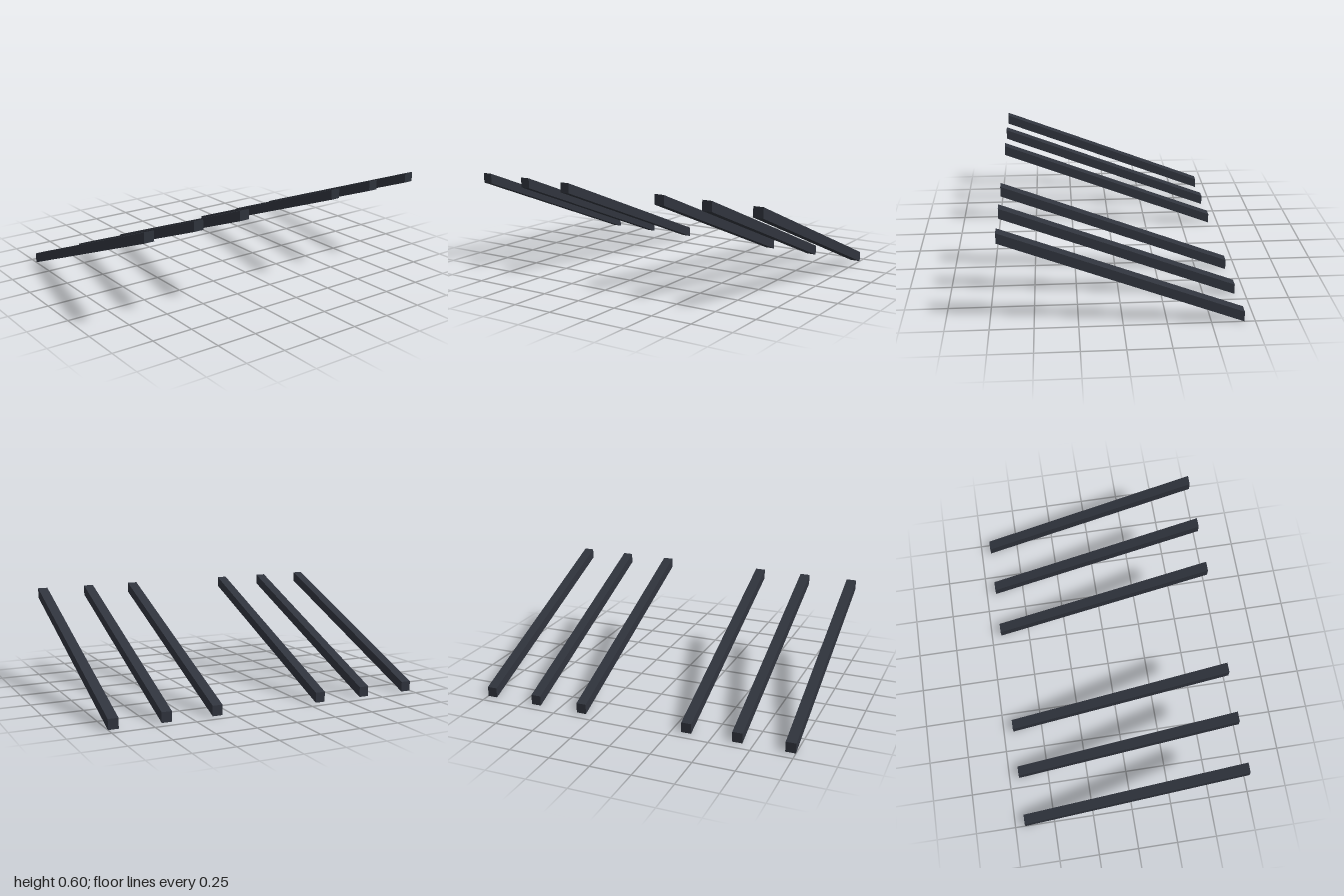
import * as THREE from 'three';

export function createModel() {
  const group = new THREE.Group();
  group.name = 'slopedBeams';
  const material = new THREE.MeshStandardMaterial({ color: 0x30343d });

  // Side outline of one beam: sloped, with ends cut plumb
  const halfLength = 0.687, rise = 0.535, depth = 0.062, width = 0.062;
  const outline = new THREE.Shape([
    new THREE.Vector2(-halfLength, 0),
    new THREE.Vector2(halfLength, rise),
    new THREE.Vector2(halfLength, rise + depth),
    new THREE.Vector2(-halfLength, depth),
  ]);
  const geometry = new THREE.ExtrudeGeometry(outline, { depth: width, bevelEnabled: false });
  geometry.translate(0, 0, -width / 2);

  // Three beams on each side of an open middle bay
  for (const side of [1, -1]) {
    [0.342, 0.655, 0.969].forEach((z, i) => {
      const beam = new THREE.Mesh(geometry, material);
      beam.name = `${side > 0 ? 'front' : 'back'}Beam${i + 1}`;
      beam.position.z = side * z;
      group.add(beam);
    });
  }
  return group;
}
